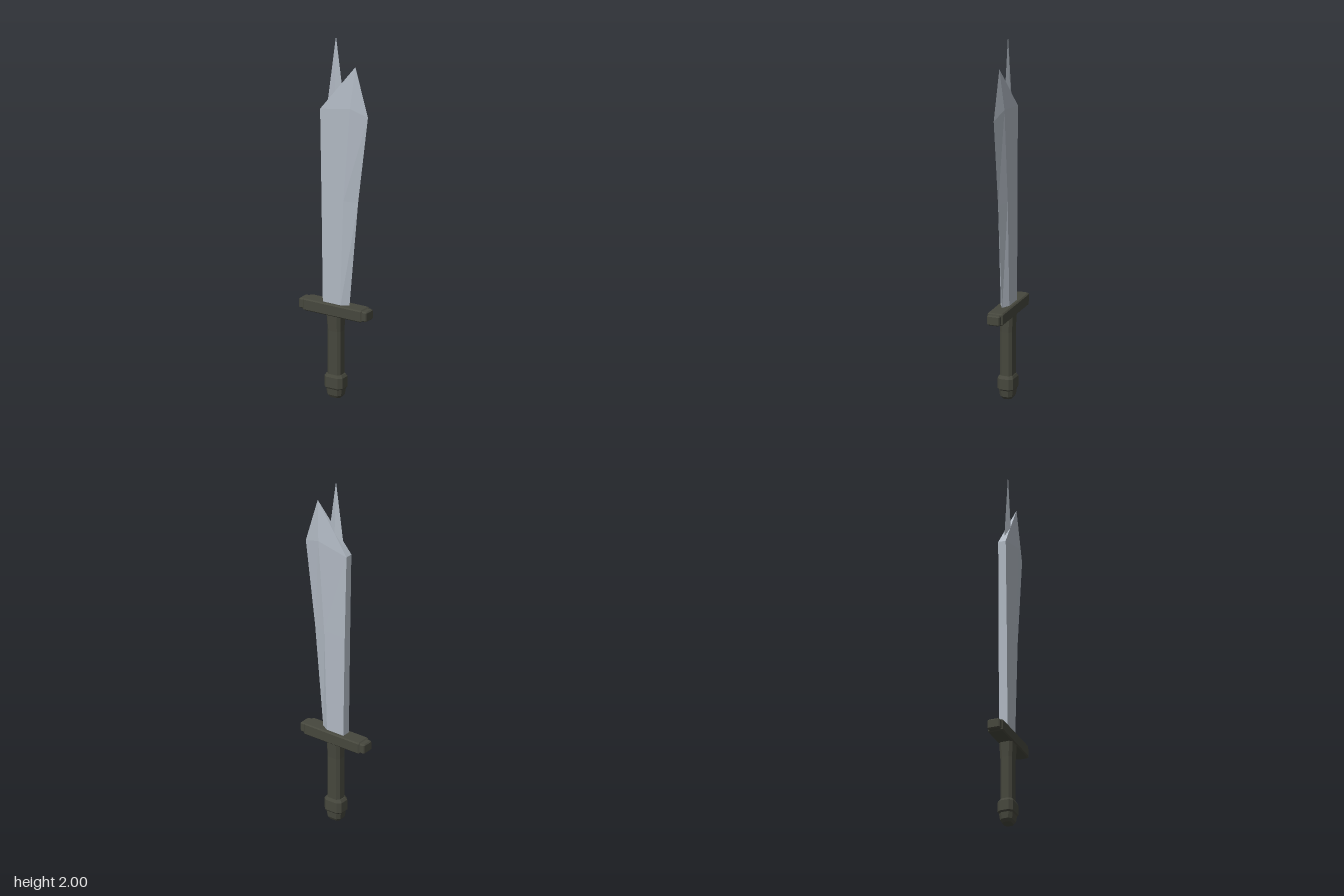
import * as THREE from 'three';

const steel = new THREE.MeshStandardMaterial({ color: 0xb0b8c2 });
steel.name = 'steel';
const darkGrip = new THREE.MeshStandardMaterial({ color: 0x46473d });
darkGrip.name = 'darkGrip';

// Skin between rings of [x, y, z] corners (counter-clockwise from above), faceted, closed at both ends
function loft(name, rings, material) {
  const pos = [];
  const n = rings[0].length;
  const tri = (a, b, c) => pos.push(...a, ...b, ...c);
  for (let r = 0; r < rings.length - 1; r++) {
    const a = rings[r], b = rings[r + 1];
    for (let i = 0; i < n; i++) {
      const j = (i + 1) % n;
      tri(a[i], a[j], b[j]);
      tri(a[i], b[j], b[i]);
    }
  }
  const bottom = rings[0], top = rings[rings.length - 1];
  for (let i = 1; i < n - 1; i++) {
    tri(bottom[0], bottom[i + 1], bottom[i]);
    tri(top[0], top[i], top[i + 1]);
  }
  const geometry = new THREE.BufferGeometry();
  geometry.setAttribute('position', new THREE.Float32BufferAttribute(pos, 3));
  geometry.computeVertexNormals();
  const mesh = new THREE.Mesh(geometry, material);
  mesh.name = name;
  return mesh;
}

// Rectangle with cut corners: half width, half depth, corner cut
function cutRect(y, w, d, c) {
  return [
    [w, y, d - c], [w, y, c - d], [w - c, y, -d], [c - w, y, -d],
    [-w, y, c - d], [-w, y, d - c], [c - w, y, d], [w - c, y, d],
  ];
}

// Block with all edges bevelled
function bevelBlock(name, w, d, y0, y1, c) {
  return loft(name, [
    cutRect(y0, w - c, d - c, c), cutRect(y0 + c, w, d, c),
    cutRect(y1 - c, w, d, c), cutRect(y1, w - c, d - c, c),
  ], darkGrip);
}

// Blade section: cutting edge, ridge and flat spine
function bladeRing(y, edge, ridge, spine, t, ridgeY = y) {
  return [[edge, y, 0], [ridge, ridgeY, -t], [spine, y, -t], [spine, y, t], [ridge, ridgeY, t]];
}

export function createModel() {
  const model = new THREE.Group();
  model.name = 'sword';

  // Broad single-edged blade ending in a slanted point
  const tip = [0.12, 1.85, 0];
  model.add(loft('blade', [
    bladeRing(0.5, 0.082, 0.04, -0.066, 0.024),
    bladeRing(1.1, 0.137, 0.06, -0.075, 0.023),
    bladeRing(1.585, 0.198, 0.1, -0.085, 0.021, 1.62),
    Array(5).fill(tip),
  ], steel));

  // Thin diamond spike rising out of the blade
  const spikeRing = (y, w, d) => [[w, y, 0], [0, y, -d], [-w, y, 0], [0, y, d]];
  model.add(loft('spike', [
    spikeRing(1.6, 0.055, 0.016), spikeRing(2, 0, 0),
  ], steel));

  // Guard with narrower end caps
  model.add(bevelBlock('guard', 0.181, 0.043, 0.455, 0.52, 0.006));
  for (const side of [-1, 1]) {
    const cap = bevelBlock(side > 0 ? 'leftGuardCap' : 'rightGuardCap', 0.025, 0.035, 0.46, 0.515, 0.006);
    cap.position.x = side * 0.184;
    model.add(cap);
  }

  // Grip, slightly wider under the guard
  model.add(loft('grip', [
    cutRect(0.1, 0.04, 0.033, 0.014), cutRect(0.37, 0.04, 0.033, 0.014),
    cutRect(0.46, 0.043, 0.038, 0.014),
  ], darkGrip));

  // Pommel with a rounded lower end
  model.add(loft('pommel', [
    cutRect(0, 0.03, 0.025, 0.012), cutRect(0.015, 0.043, 0.034, 0.016),
    cutRect(0.05, 0.048, 0.038, 0.017), cutRect(0.058, 0.055, 0.043, 0.018),
    cutRect(0.115, 0.055, 0.043, 0.018), cutRect(0.13, 0.045, 0.036, 0.016),
  ], darkGrip));

  return model;
}
